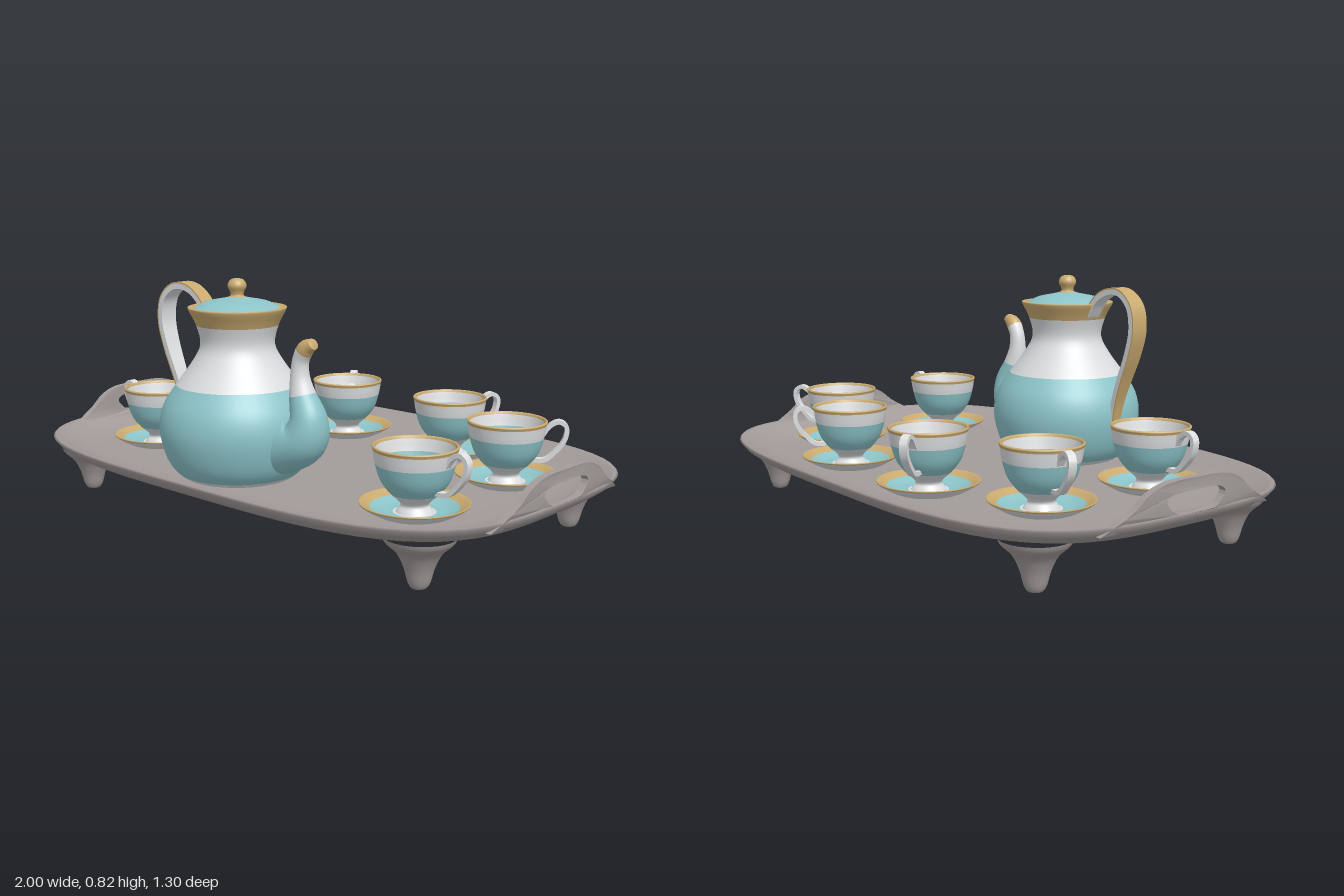
import * as THREE from 'three';
import { toCreasedNormals } from 'three/addons/utils/BufferGeometryUtils.js';

const material = (name, color) => {
  const m = new THREE.MeshStandardMaterial({ color });
  m.name = name;
  return m;
};
const V = (x, y, z) => new THREE.Vector3(x, y, z);
const V2 = ([x, y]) => new THREE.Vector2(x, y);

// Skin a list of closed rings (each an array of Vector3)
function loft(rings) {
  const n = rings[0].length, index = [];
  for (let i = 0; i < rings.length - 1; i++) {
    for (let j = 0; j < n; j++) {
      const k = (j + 1) % n, a = i * n + j, b = i * n + k;
      index.push(a, a + n, b, b, a + n, b + n);
    }
  }
  const g = new THREE.BufferGeometry().setFromPoints(rings.flat());
  g.setIndex(index);
  g.computeVertexNormals();
  return g;
}

// Points along a planar path, with tangent-perpendicular n; z of the curve carries a radius
function planarFrames(points, count) {
  const curve = new THREE.CatmullRomCurve3(points.map(p => V(p[0], p[1], p[2] || 0)));
  return Array.from({ length: count + 1 }, (_, i) => {
    const p = curve.getPoint(i / count), t = curve.getTangent(i / count);
    const n = V(t.y, -t.x, 0).normalize();
    return { p: V(p.x, p.y, 0), r: p.z, n };
  });
}

// Rectangular strip following a path, from offset n0 to n1; r is its half width
function ribbon(points, n0, n1, count) {
  const rings = planarFrames(points, count).map(({ p, r, n }) =>
    [[n1, -1], [n1, 1], [n0, 1], [n0, -1]].map(([d, s]) => p.clone().addScaledVector(n, d).add(V(0, 0, s * r))));
  return toCreasedNormals(loft(rings), 0.7);
}

// Lathe one colour band of a smooth profile, between two of its control points
function band(profile, from, to, segments) {
  const curve = new THREE.SplineCurve(profile.map(V2)), steps = (to - from) * 4, pts = [];
  for (let i = 0; i <= steps; i++) {
    const p = curve.getPoint((from + i / 4) / (profile.length - 1));
    pts.push(new THREE.Vector2(Math.max(p.x, 0), p.y));
  }
  return new THREE.LatheGeometry(pts, segments);
}

// Rounded oblong tray outline, inset by d
const POWER = 3.5;
function outline(angle, d) {
  const c = Math.cos(angle), s = Math.sin(angle);
  const k = Math.pow(Math.abs(c) ** POWER + Math.abs(s) ** POWER, -1 / POWER);
  return [c * k * (1 - d), s * k * (0.65 - d)];
}
const edgeX = z => Math.pow(1 - Math.abs(z / 0.65) ** POWER, 1 / POWER);

export function createModel() {
  const model = new THREE.Group();
  model.name = 'teaSet';
  const grey = material('trayGrey', 0xa29b99);
  const white = material('porcelainWhite', 0xdcdee0);
  const blue = material('glazeBlue', 0x8cc4c9);
  const gold = material('trimGold', 0xc9aa70);

  const add = (parent, name, geometry, mat) => {
    const mesh = new THREE.Mesh(geometry, mat);
    mesh.name = name;
    parent.add(mesh);
    return mesh;
  };
  const group = (parent, name, x = 0, z = 0) => {
    const g = new THREE.Group();
    g.name = name;
    g.position.set(x, 0, z);
    parent.add(g);
    return g;
  };
  // Each entry: [part name, material, first control point, last control point]
  const turned = (parent, profile, parts, segments) =>
    parts.forEach(([name, mat, a, b]) => add(parent, name, band(profile, a, b, segments), mat));

  // Tray dish: underside, sloping wall, rim and floor
  const tray = group(model, 'tray');
  const trayProfile = [[0.65, 0.13], [0.3, 0.13], [0.18, 0.132], [0.11, 0.147], [0.05, 0.165], [0.015, 0.19],
    [0, 0.21], [0.006, 0.217], [0.02, 0.212], [0.07, 0.187], [0.12, 0.17], [0.17, 0.165], [0.3, 0.165], [0.65, 0.165]];
  const N = 96;
  const rings = trayProfile.map(([d, y]) => Array.from({ length: N }, (_, j) => {
    const [x, z] = d === 0.65 ? [0, 0] : outline(j / N * Math.PI * 2, d);
    return V(x, y, z);
  }));
  add(tray, 'trayDish', loft(rings), grey);

  // Tray feet
  const footProfile = [[0, 0], [0.022, 0.003], [0.034, 0.022], [0.046, 0.065], [0.068, 0.11], [0.1, 0.14], [0.11, 0.16]];
  for (const sx of [-1, 1]) for (const sz of [-1, 1]) {
    add(tray, 'trayFoot', band(footProfile, 0, 6, 28), grey).position.set(sx * 0.77, 0, sz * 0.4);
  }

  // Arched tray handles with a grip hole, bent along the tray edge
  const arch = new THREE.Shape();
  arch.moveTo(-0.34, 0.19);
  arch.lineTo(0.34, 0.19);
  arch.splineThru([[0.3, 0.213], [0.235, 0.25], [0.18, 0.292], [0.11, 0.315], [0, 0.318],
    [-0.11, 0.315], [-0.18, 0.292], [-0.235, 0.25], [-0.3, 0.213], [-0.34, 0.19]].map(V2));
  const grip = new THREE.Path();
  grip.moveTo(0.07, 0.218);
  grip.splineThru([[0, 0.216], [-0.07, 0.218], [-0.1, 0.235], [-0.118, 0.262], [-0.085, 0.28], [0, 0.282],
    [0.085, 0.28], [0.118, 0.262], [0.1, 0.235], [0.07, 0.218]].map(V2));
  arch.holes.push(grip);
  const handleGeo = new THREE.ExtrudeGeometry(arch, { depth: 0.024, bevelEnabled: false, curveSegments: 40 });
  const pos = handleGeo.attributes.position;
  for (let i = 0; i < pos.count; i++) {
    const z = pos.getX(i);
    pos.setXYZ(i, edgeX(z) - pos.getZ(i), pos.getY(i), z);
  }
  const trayHandleGeo = toCreasedNormals(handleGeo, 0.6);
  for (const turn of [0, Math.PI]) add(tray, 'trayHandle', trayHandleGeo, grey).rotation.y = turn;

  // Teapot body, lid and knob
  const pot = group(model, 'teapot', -0.05, 0.33);
  const potProfile = [[0, 0.168], [0.15, 0.168], [0.2, 0.188], [0.238, 0.24], [0.26, 0.33], [0.247, 0.41],
    [0.203, 0.48], [0.152, 0.55], [0.122, 0.61], [0.135, 0.675], [0.16, 0.725], [0.156, 0.733], [0.14, 0.731],
    [0.1, 0.749], [0.03, 0.764], [0.022, 0.778], [0.031, 0.8], [0.021, 0.82], [0, 0.825]];
  turned(pot, potProfile, [
    ['potBase', white, 0, 2], ['potBelly', blue, 2, 6], ['potNeck', white, 6, 9],
    ['potRim', gold, 9, 12], ['lid', blue, 12, 14], ['lidKnob', gold, 14, 18],
  ], 64);

  // Teapot spout, split into its colour bands by height
  const spout = planarFrames([[0.12, 0.29, 0.1], [0.22, 0.31, 0.093], [0.3, 0.345, 0.078], [0.318, 0.4, 0.063],
    [0.293, 0.48, 0.043], [0.282, 0.54, 0.031], [0.286, 0.59, 0.027], [0.308, 0.628, 0.027], [0.34, 0.646, 0.018]], 80);
  const spoutRings = spout.map(({ p, r, n }) => Array.from({ length: 28 }, (_, j) => {
    const a = j / 28 * Math.PI * 2;
    return p.clone().addScaledVector(n, Math.cos(a) * r).add(V(0, 0, Math.sin(a) * r));
  }));
  const iWhite = spout.findIndex(f => f.p.y >= 0.48), iGold = spout.findIndex(f => f.p.y >= 0.615);
  add(pot, 'spoutBase', loft(spoutRings.slice(0, iWhite + 1)), blue);
  add(pot, 'spoutNeck', loft(spoutRings.slice(iWhite, iGold + 1)), white);
  const mouth = spout[80].p;
  add(pot, 'spoutTip', loft([...spoutRings.slice(iGold), spoutRings[80].map(() => mouth.clone())]), gold);

  // Teapot handle: white strap with a gold outer face
  const strap = [[-0.13, 0.69, 0.026], [-0.17, 0.745, 0.026], [-0.225, 0.777, 0.026], [-0.29, 0.778, 0.028],
    [-0.342, 0.735, 0.031], [-0.356, 0.66, 0.031], [-0.335, 0.575, 0.029], [-0.295, 0.48, 0.025],
    [-0.266, 0.4, 0.02], [-0.25, 0.33, 0.016]];
  add(pot, 'potHandle', ribbon(strap, -0.01, 0.008, 60), white);
  add(pot, 'potHandleTrim', ribbon(strap, 0.008, 0.013, 60), gold);

  // Cups with saucers: x, z and the direction each handle points
  const saucerProfile = [[0, 0.167], [0.09, 0.167], [0.135, 0.184], [0.165, 0.203], [0.163, 0.209],
    [0.135, 0.194], [0.1, 0.181], [0.065, 0.178], [0, 0.178]];
  const cupProfile = [[0, 0.17], [0.055, 0.17], [0.053, 0.184], [0.042, 0.2], [0.053, 0.217], [0.075, 0.236],
    [0.104, 0.275], [0.12, 0.326], [0.127, 0.368], [0.13, 0.377], [0.125, 0.381], [0.119, 0.372],
    [0.11, 0.335], [0.092, 0.28], [0.045, 0.23], [0.025, 0.223], [0, 0.222]];
  const cupStrap = [[0.112, 0.33, 0.012], [0.135, 0.363, 0.012], [0.165, 0.378, 0.013], [0.188, 0.362, 0.013],
    [0.184, 0.32, 0.013], [0.155, 0.28, 0.012], [0.122, 0.252, 0.012], [0.08, 0.25, 0.012]];
  const cupHandleGeo = ribbon(cupStrap, -0.007, 0.007, 32);
  const places = [[-0.59, -0.23, -0.17, -0.04], [-0.19, -0.365, -0.09, -0.14], [0.295, -0.365, 0.07, -0.15],
    [0.655, -0.19, 0.14, -0.1], [-0.59, 0.22, -1, 0], [0.655, 0.28, 1, 0]];
  for (const [x, z, dx, dz] of places) {
    const cup = group(model, 'cupAndSaucer', x, z);
    cup.rotation.y = Math.atan2(-dz, dx);
    turned(cup, saucerProfile, [
      ['saucerUnderside', white, 0, 3], ['saucerRim', gold, 3, 5],
      ['saucerDish', blue, 5, 7], ['saucerCentre', white, 7, 8],
    ], 40);
    turned(cup, cupProfile, [
      ['cupFoot', white, 0, 5], ['cupBowl', blue, 5, 7], ['cupBand', white, 7, 8], ['cupRim', gold, 8, 11],
      ['cupInnerBand', white, 11, 12], ['cupInside', blue, 12, 14], ['cupCentre', white, 14, 16],
    ], 40);
    add(cup, 'cupHandle', cupHandleGeo, white);
  }
  return model;
}
